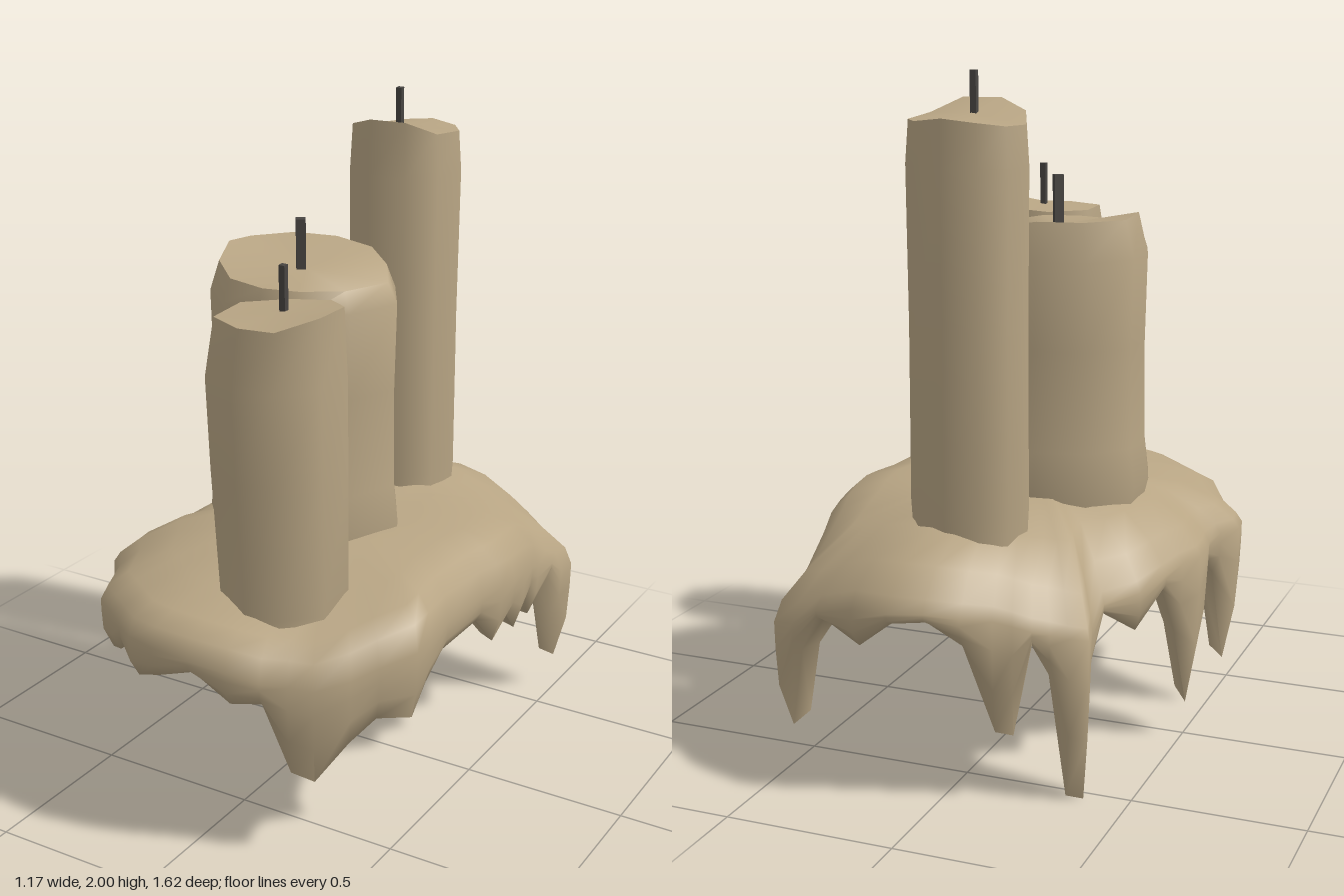
import * as THREE from 'three';
import { toCreasedNormals } from 'three/addons/utils/BufferGeometryUtils.js';

const wax = new THREE.MeshStandardMaterial({ color: 0xb8a584, side: THREE.DoubleSide });
wax.name = 'wax';
const char = new THREE.MeshStandardMaterial({ color: 0x484542 });
char.name = 'charred wick';

// Skin a stack of closed rings (all with the same point count), listed from inside/bottom to top
function loft(rings, crease) {
  const pos = [];
  const same = (p, q) => p.every((v, k) => Math.abs(v - q[k]) < 1e-6);
  const tri = (p, q, r) => {
    if (!same(p, q) && !same(q, r) && !same(p, r)) pos.push(...p, ...q, ...r);
  };
  for (let i = 0; i + 1 < rings.length; i++) {
    const lo = rings[i], hi = rings[i + 1], n = lo.length;
    for (let j = 0; j < n; j++) {
      const k = (j + 1) % n;
      tri(lo[j], hi[j], lo[k]);
      tri(lo[k], hi[j], hi[k]);
    }
  }
  const g = new THREE.BufferGeometry();
  g.setAttribute('position', new THREE.Float32BufferAttribute(pos, 3));
  return toCreasedNormals(g, crease);
}

function addMesh(parent, name, geometry, material) {
  const m = new THREE.Mesh(geometry, material);
  m.name = name;
  parent.add(m);
  return m;
}

// Candle: footprint points [x, z, rimY]; body rings [y, scale, dx, dz]; sunken or flat top
function candle(name, cx, cz, points, body, rimScale, topY, wick) {
  const group = new THREE.Group();
  group.name = name;
  const ring = ([y, s, dx = 0, dz = 0]) =>
    points.map(([x, z]) => [cx + (x - cx) * s + dx, y, cz + (z - cz) * s + dz]);
  const rings = body.map(ring);
  const rim = points.map(([x, z, y]) => [cx + (x - cx) * rimScale, y, cz + (z - cz) * rimScale]);
  const centre = y => points.map(() => [cx, y, cz]);
  addMesh(group, name + 'Body', loft([centre(body[0][0]), ...rings, rim, centre(topY)], 1.15), wax);

  // Slightly leaning square wick
  const [wx, wz, w, y0, y1, tilt] = wick;
  const stick = addMesh(group, name + 'Wick', new THREE.BoxGeometry(w, y1 - y0, w), char);
  stick.position.set(wx, (y0 + y1) / 2, wz);
  stick.rotation.set(tilt, w > 0.02 ? 0.6 : 0, -tilt / 2);
  return group;
}

// Edge of the melted pool: [x, z, lowest y of the skirt there], clockwise from the back
const EDGE = [
  [0.1, -0.81, 0.54], [0.22, -0.78, 0.45], [0.35, -0.74, 0.5], [0.45, -0.7, 0.38],
  [0.53, -0.66, 0.12], [0.53, -0.58, 0.3], [0.53, -0.5, 0.48], [0.54, -0.37, 0.39],
  [0.56, -0.28, 0.5], [0.57, -0.2, 0.42], [0.58, -0.11, 0.5], [0.57, -0.04, 0.44],
  [0.55, 0.05, 0.54], [0.54, 0.25, 0.53], [0.55, 0.37, 0.48], [0.55, 0.45, 0.4],
  [0.48, 0.54, 0.42], [0.43, 0.61, 0.36], [0.36, 0.69, 0.25], [0.29, 0.71, 0.27],
  [0.23, 0.76, 0.5], [0.14, 0.79, 0.49], [0.03, 0.81, 0.57], [-0.1, 0.8, 0.52],
  [-0.2, 0.77, 0.48], [-0.28, 0.71, 0.54], [-0.36, 0.65, 0.47], [-0.43, 0.6, 0.44],
  [-0.51, 0.43, 0.5], [-0.58, 0.34, 0.36], [-0.59, 0.27, 0.16], [-0.55, 0.2, 0.46],
  [-0.54, 0.11, 0.52], [-0.55, 0.05, 0.26], [-0.55, -0.02, 0.11], [-0.52, -0.1, 0.36],
  [-0.5, -0.2, 0.52], [-0.46, -0.32, 0.43], [-0.38, -0.4, 0.5], [-0.38, -0.5, 0.36],
  [-0.4, -0.58, 0], [-0.35, -0.6, 0.01], [-0.3, -0.62, 0.38], [-0.26, -0.65, 0.47],
  [-0.21, -0.67, 0.2], [-0.16, -0.69, 0.21], [-0.09, -0.75, 0.48], [0, -0.79, 0.55],
];

// Corners where the heaviest drips drag the pool down: [x, z, depth]
const DROOPS = [[0.52, -0.62, 0.16], [0.36, 0.69, 0.08], [-0.4, -0.58, 0.08]];
const droop = (x, z) => DROOPS.reduce(
  (sum, [cx, cz, d]) => sum + d * Math.exp(-((x - cx) ** 2 + (z - cz) ** 2) / 0.06), 0);

// Thin draped wax pool with a dripping skirt, hollow underneath
function buildPool() {
  // Ring scaled from the edge, tilted along x and z
  const level = (s, y, tx = 0, tz = 0) =>
    EDGE.map(([x, z]) => [x * s, y + tx * x + tz * z - droop(x * s, z * s), z * s]);
  // Skirt ring: t runs from the rim (0) to the drip tip (1), pulled inward as it hangs
  const skirt = (t, inset) => EDGE.map(([x, z, low]) => {
    const rim = Math.max(0.6 + 0.04 * x + 0.03 * z - droop(x, z), low + 0.03);
    const drop = rim - low, s = 1 - 0.09 * drop * t * t - inset;
    return [x * s, rim - drop * t, z * s];
  });
  return loft([
    level(0, 0.7), level(0.6, 0.69), level(0.8, 0.64),
    skirt(0.35, 0.13), skirt(0.9, 0.1),
    skirt(1, 0.03), skirt(0.6, 0), skirt(0.25, 0), skirt(0, 0),
    level(0.97, 0.65, 0.08, 0.04), level(0.88, 0.7, 0.07, 0.01),
    level(0.7, 0.745, 0.03, -0.015), level(0.4, 0.77), level(0, 0.77),
  ], 1.5);
}

export function createModel() {
  const model = new THREE.Group();
  model.name = 'meltedCandles';
  addMesh(model, 'waxPool', buildPool(), wax);

  // Wide middle candle with a rounded shoulder and shallow dip
  model.add(candle('middleCandle', -0.06, 0.04, [
    [0.03, -0.235, 1.55], [0.14, -0.14, 1.53], [0.235, 0.02, 1.52], [0.17, 0.18, 1.52],
    [0.07, 0.29, 1.53], [-0.05, 0.315, 1.53], [-0.2, 0.27, 1.53], [-0.31, 0.17, 1.55],
    [-0.35, 0.05, 1.58], [-0.35, -0.08, 1.57], [-0.25, -0.2, 1.57], [-0.1, -0.225, 1.57],
  ], [[0.65, 0.93], [0.78, 1.04], [0.9, 0.99], [1.2, 0.98], [1.46, 1]], 0.9, 1.53,
  [-0.07, 0.05, 0.028, 1.5, 1.68, 0.04]));

  // Short front candle
  model.add(candle('frontCandle', 0.13, 0.48, [
    [0.2, 0.31, 1.54], [0.3, 0.41, 1.56], [0.3, 0.54, 1.56], [0.21, 0.635, 1.53],
    [0.1, 0.65, 1.53], [-0.02, 0.59, 1.53], [-0.035, 0.43, 1.53], [0.07, 0.33, 1.53],
  ], [[0.65, 0.95], [0.7, 0.98, 0.003, -0.01], [1.1, 1.03, 0, 0.005], [1.36, 1.05, -0.01, 0]],
  0.95, 1.54, [0.14, 0.475, 0.018, 1.51, 1.67, 0.06]));

  // Tall back candle with a slanted top
  model.add(candle('backCandle', 0.01, -0.41, [
    [0.03, -0.578, 1.88], [0.12, -0.56, 1.87], [0.175, -0.48, 1.87], [0.17, -0.34, 1.88],
    [0.1, -0.26, 1.92], [-0.02, -0.255, 1.92], [-0.12, -0.32, 1.89], [-0.165, -0.43, 1.86],
    [-0.14, -0.52, 1.86], [-0.07, -0.568, 1.87],
  ], [[0.65, 0.95], [0.8, 1], [1.3, 0.99], [1.75, 1.01]], 0.96, 1.885,
  [0.008, -0.395, 0.018, 1.86, 2, 0.07]));

  return model;
}
